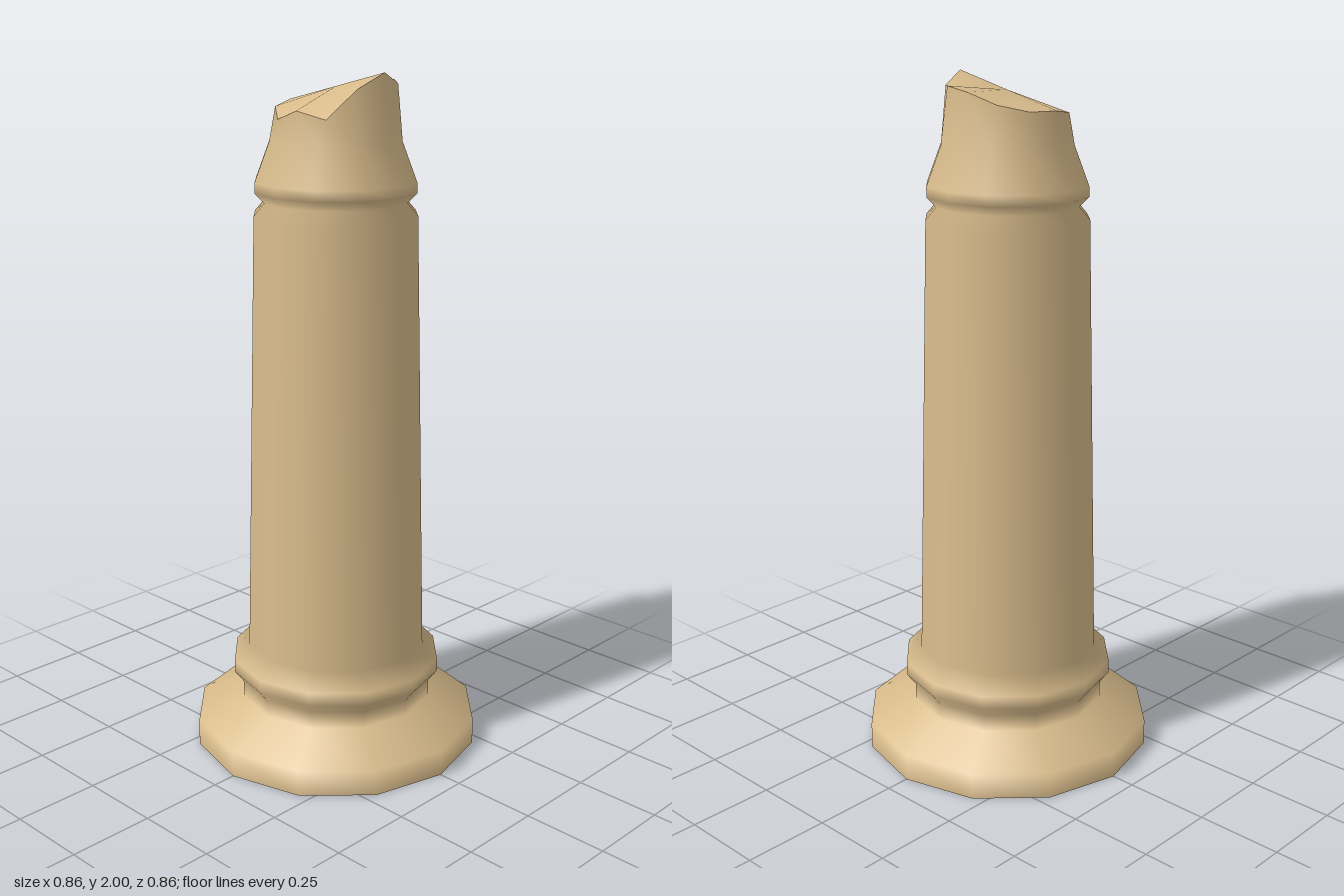
import * as THREE from 'three';

const SIDES = 12;

export function createModel() {
  const group = new THREE.Group();
  group.name = 'brokenColumn';
  const stone = new THREE.MeshStandardMaterial({ color: 0xd8bb8b });
  stone.name = 'sandstone';

  const add = (name, geometry) => {
    const mesh = new THREE.Mesh(geometry, stone);
    mesh.name = name;
    group.add(mesh);
  };

  // Jagged broken rim, going round from +z towards +x
  const rim = [
    [0.02, 1.90, 0.172], [0.11, 1.88, 0.15], [0.166, 1.96, 0.088], [0.183, 2.0, 0],
    [0.15, 1.965, -0.09], [0.08, 1.97, -0.152], [-0.018, 1.96, -0.174], [-0.107, 1.93, -0.152],
    [-0.168, 1.912, -0.09], [-0.183, 1.91, 0], [-0.15, 1.897, 0.088], [-0.075, 1.87, 0.15],
  ];

  // Foot, lower moulding, tapered shaft, neck and upper moulding; the last ring becomes the rim
  const profile = [
    [0.43, 0], [0.43, 0.077], [0.29, 0.142], [0.29, 0.192], [0.316, 0.226], [0.316, 0.265],
    [0.27, 0.312], [0.237, 1.605], [0.206, 1.64], [0.233, 1.668], [0.233, 1.698],
    [0.19, 1.81], [0.183, 1.92],
  ].map(([r, y]) => new THREE.Vector2(r, y));
  const body = new THREE.LatheGeometry(profile, SIDES);
  for (let i = 0; i <= SIDES; i++) {
    body.attributes.position.setXYZ(i * profile.length + profile.length - 1, ...rim[i % SIDES]);
  }
  add('columnBody', body);

  // Broken top face, a fan from a raised centre
  const top = new THREE.BufferGeometry();
  const index = [];
  for (let i = 0; i < SIDES; i++) index.push(0, 1 + i, 1 + (i + 1) % SIDES);
  top.setAttribute('position', new THREE.Float32BufferAttribute([0, 1.955, 0, ...rim.flat()], 3));
  top.setIndex(index);
  top.computeVertexNormals();
  add('brokenTop', top);

  // Flat underside
  add('underside', new THREE.CircleGeometry(0.43, SIDES).rotateX(Math.PI / 2));

  return group;
}
